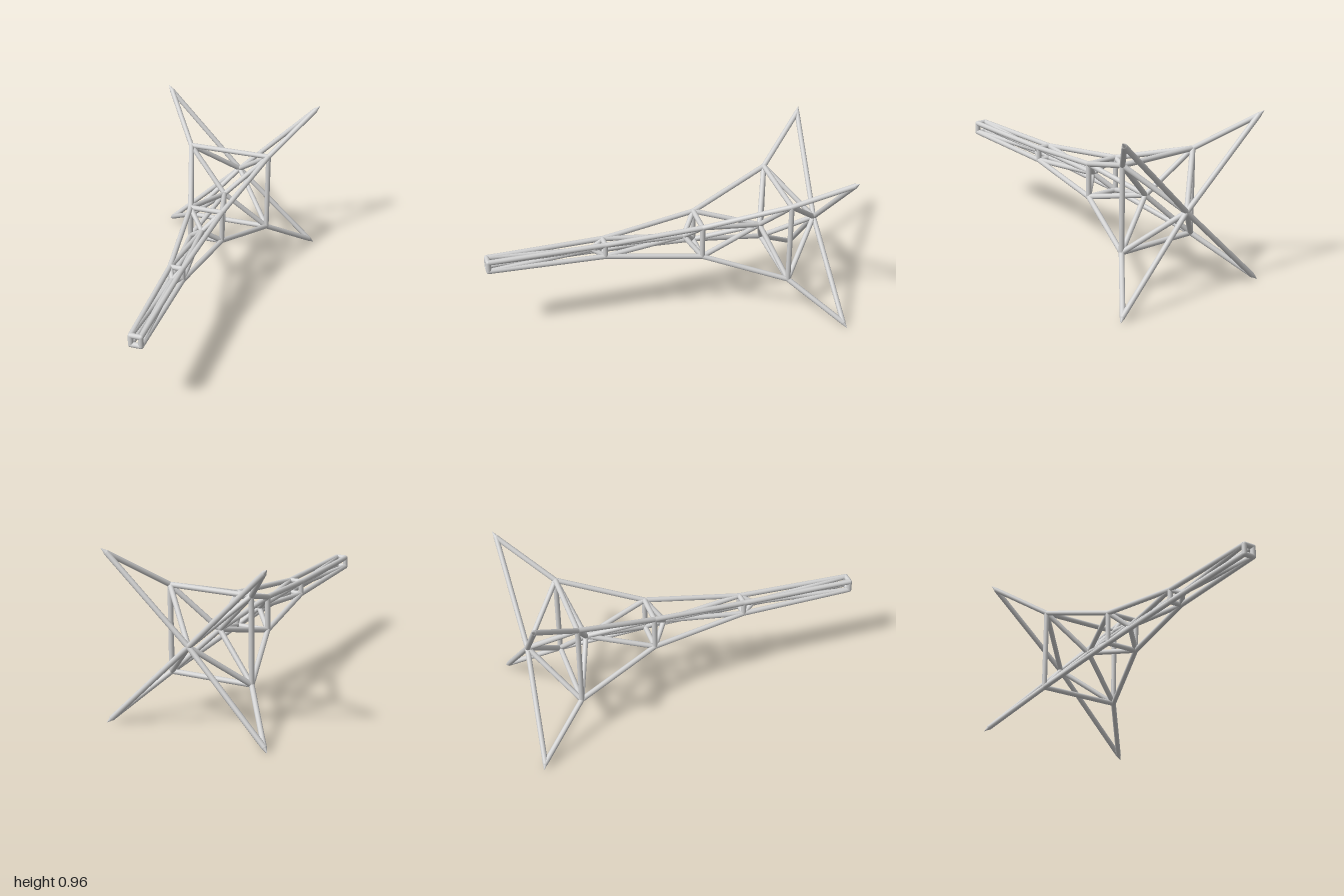
import * as THREE from 'three';

const R = 0.015;   // tube radius
const CY = 0.482;  // height of the long axis
const UP = new THREE.Vector3(0, 1, 0);

export function createModel() {
  const model = new THREE.Group();
  model.name = 'trussFrame';
  const steel = new THREE.MeshStandardMaterial({ color: 0xd2d2d2 });
  steel.name = 'light grey steel';

  const add = (name, geometry, position) => {
    const mesh = new THREE.Mesh(geometry, steel);
    mesh.name = name;
    mesh.position.copy(position);
    model.add(mesh);
    return mesh;
  };
  // One straight tube between two nodes; endRadius 0 makes a spike
  const tube = (name, a, b, endRadius = R) => {
    const dir = b.clone().sub(a);
    const geometry = new THREE.CylinderGeometry(endRadius, R, dir.length(), 12);
    const mesh = add(name, geometry, a.clone().add(b).multiplyScalar(0.5));
    mesh.quaternion.setFromUnitVectors(UP, dir.normalize());
  };
  // Small ball that closes the gap where tubes meet
  const joint = (p) => add('joint', new THREE.SphereGeometry(R, 12, 8), p);

  // Square of four corner points at a given depth
  const square = (z, h) =>
    [[1, 1], [-1, 1], [-1, -1], [1, -1]].map(([x, y]) => new THREE.Vector3(x * h, CY + y * h, z));

  // Squares from the rear tips to the front end
  const corners = [
    square(-0.984, 0.455), square(-0.71, 0.243), square(-0.235, 0.096),
    square(0.32, 0.037), square(0.985, 0.028),
  ];
  // Axis node just ahead of each square, bracing it to the next one
  const nodes = [-0.945, -0.61, -0.15, 0.39].map((z) => new THREE.Vector3(0, CY, z));

  corners.forEach((ring, i) => {
    ring.forEach((p, k) => {
      joint(p);
      if (i > 0) {
        tube('squareBar', p, ring[(k + 1) % 4]);
        tube('longeron', corners[i - 1][k], p);
        tube('frontBrace', nodes[i - 1], p);
      }
      if (i < nodes.length) tube(i === 0 ? 'tipStrut' : 'rearBrace', p, nodes[i]);
    });
  });
  nodes.forEach(joint);

  // Pointed mitres where the struts and longerons meet at the rear tips
  square(-1, 0.482).forEach((tip, k) => tube('tipPoint', corners[0][k], tip, 0));
  return model;
}
